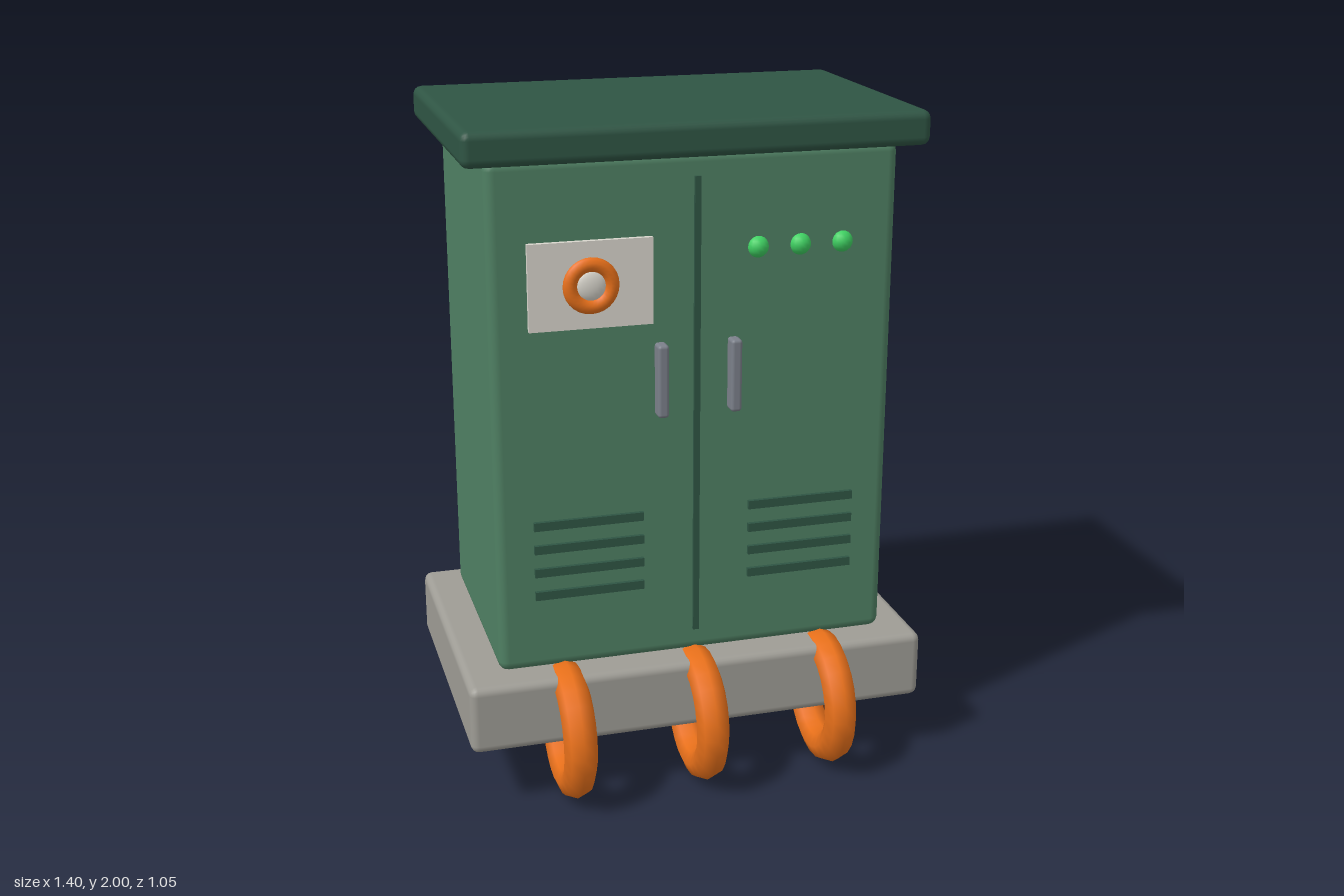
import * as THREE from 'three';
import { RoundedBoxGeometry } from 'three/addons/geometries/RoundedBoxGeometry.js';

const mat = (color) => new THREE.MeshStandardMaterial({ color });

export function createModel() {
  const model = new THREE.Group();
  const green = mat(0x4f8063);
  const darkGreen = mat(0x2f5544);
  const stone = mat(0x9e9c95);
  const orange = mat(0xe8701a);
  const cream = mat(0xd8d5cc);
  const steel = mat(0x7b808a);
  const lamp = mat(0x3fd062);

  const add = (name, geometry, material, x, y, z) => {
    const mesh = new THREE.Mesh(geometry, material);
    mesh.name = name;
    mesh.position.set(x, y, z);
    model.add(mesh);
    return mesh;
  };
  const rounded = (w, h, d, r) => new RoundedBoxGeometry(w, h, d, 2, r);

  // Plinth, cabinet and overhanging roof
  add('plinth', rounded(1.4, 0.21, 0.894, 0.025), stone, 0, 0.292, -0.078);
  add('cabinet', rounded(1.19, 1.51, 0.72, 0.03), green, 0, 1.153, -0.075);
  add('roof', rounded(1.33, 0.1, 0.866, 0.025), darkGreen, 0, 1.95, -0.08);

  // Seam between the two doors
  add('doorSeam', new THREE.BoxGeometry(0.018, 1.37, 0.03), darkGreen, 0, 1.155, 0.28);

  // Door handles and ventilation slots, mirrored on both doors
  for (const side of [-1, 1]) {
    add('doorHandle', rounded(0.033, 0.215, 0.05, 0.01), steel, side * 0.108, 1.265, 0.305);
    for (let i = 0; i < 4; i++) {
      add('ventSlot', new THREE.BoxGeometry(0.325, 0.026, 0.03), darkGreen,
        side * 0.322, 0.852 - i * 0.072, 0.282);
    }
  }

  // Control plate with a ringed button
  add('controlPlate', new THREE.BoxGeometry(0.355, 0.248, 0.03), cream, -0.308, 1.555, 0.285);
  add('buttonRing', new THREE.TorusGeometry(0.06, 0.022, 10, 28), orange, -0.308, 1.553, 0.296);
  add('button', new THREE.SphereGeometry(0.046, 20, 12), cream, -0.308, 1.553, 0.296)
    .scale.z = 0.4;

  // Indicator lamps
  for (let i = 0; i < 3; i++) {
    add('indicatorLamp', new THREE.SphereGeometry(0.032, 16, 10), lamp,
      0.18 + i * 0.126, 1.628, 0.278);
  }

  // Cable loops passing through the front of the plinth
  for (const x of [-0.4, 0, 0.4]) {
    add('cableLoop', new THREE.TorusGeometry(0.158, 0.05, 8, 24), orange, x, 0.215, 0.32)
      .rotation.y = Math.PI / 2;
  }

  // Stand the lowest loop on the ground
  model.children.forEach((part) => { if (part.name === 'cableLoop') part.position.y = 0.21; });
  return model;
}
